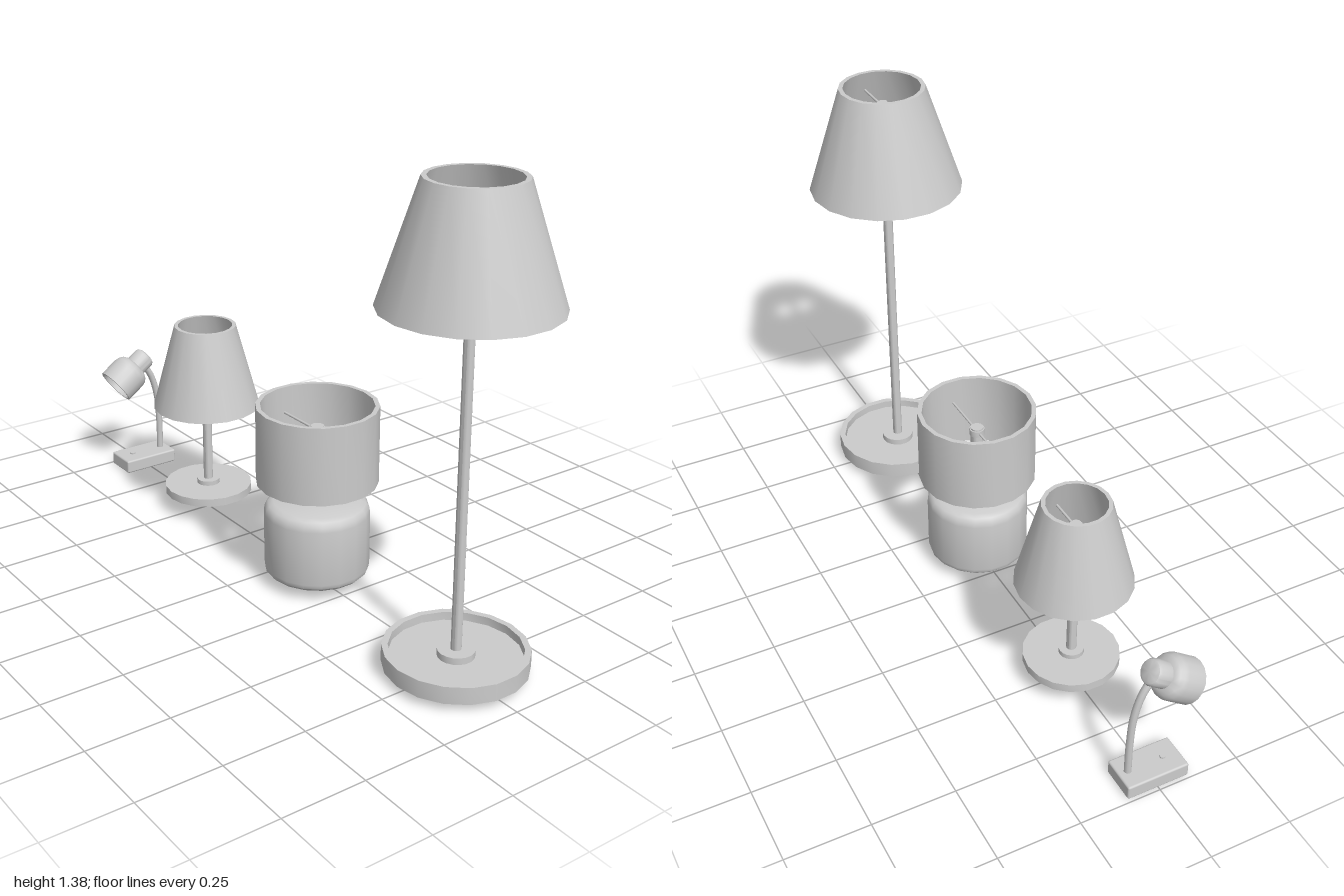
import * as THREE from 'three';
import { toCreasedNormals } from 'three/addons/utils/BufferGeometryUtils.js';
import { RoundedBoxGeometry } from 'three/addons/geometries/RoundedBoxGeometry.js';

const SIDES = 18;
const material = new THREE.MeshStandardMaterial({ color: 0xcccccc });

function add(parent, name, geometry, x = 0, y = 0, z = 0) {
  const mesh = new THREE.Mesh(geometry, material);
  mesh.name = name;
  mesh.position.set(x, y, z);
  parent.add(mesh);
  return mesh;
}

// Turned solid from [radius, height] points, listed from the bottom up the outside
function turned(points, sides = SIDES) {
  const profile = points.map(([r, y]) => new THREE.Vector2(r, y));
  return toCreasedNormals(new THREE.LatheGeometry(profile, sides), 0.6);
}

function disc(r, y0, y1, sides = SIDES) {
  return turned([[0, y0], [r, y0], [r, y1], [0, y1]], sides);
}

// Hollow shade with a wall thickness
function shadeGeometry(rBottom, rTop, y0, y1, t) {
  return turned([[rBottom - t, y0], [rBottom, y0], [rTop, y1], [rTop - t, y1], [rBottom - t, y0]]);
}

// Shade, pole, collar and the crossbar that carries the shade
function standingLamp(name, x, baseGeometry, o) {
  const lamp = new THREE.Group();
  lamp.name = name;
  lamp.position.x = x;
  add(lamp, 'base', baseGeometry);
  add(lamp, 'collar', disc(o.collarR, o.collarY[0], o.collarY[1]));
  add(lamp, 'pole', disc(o.poleR, o.collarY[0], o.barY + 0.015, 12));
  const [rBottom, rTop, y0, y1] = o.shade;
  add(lamp, 'shade', shadeGeometry(rBottom, rTop, y0, y1, o.wall));
  const rAtBar = THREE.MathUtils.mapLinear(o.barY, y0, y1, rBottom, rTop) - o.wall * 0.5;
  const bar = new THREE.CylinderGeometry(0.004, 0.004, rAtBar * 2, 8).rotateZ(Math.PI / 2);
  add(lamp, 'shadeCrossbar', bar, 0, o.barY);
  add(lamp, 'shadeHub', disc(o.poleR + 0.004, o.barY - 0.01, o.barY + 0.01, 12));
  return lamp;
}

function deskLamp() {
  const lamp = new THREE.Group();
  lamp.name = 'deskLamp';
  lamp.position.x = -0.935;
  add(lamp, 'base', new RoundedBoxGeometry(0.112, 0.045, 0.194, 2, 0.006), 0, 0.0225, 0);
  add(lamp, 'switchButton', disc(0.009, 0.04, 0.05, 12), 0, 0, 0.045);

  // Bent stem rising from the rear of the base
  const path = new THREE.CatmullRomCurve3(
    [[0.03, -0.067], [0.15, -0.067], [0.25, -0.06], [0.33, -0.037], [0.385, 0]]
      .map(([y, z]) => new THREE.Vector3(0, y, z)));
  add(lamp, 'stem', new THREE.TubeGeometry(path, 16, 0.011, 10));

  // Tilted head: bell-shaped shade with a cap behind it
  const head = new THREE.Group();
  head.name = 'head';
  head.position.set(0, 0.315, 0.102);
  head.rotation.x = -0.95;
  lamp.add(head);
  add(head, 'bellShade', turned([
    [0, 0.03], [0.056, 0.03], [0.058, 0], [0.066, 0], [0.066, 0.066],
    [0.063, 0.08], [0.055, 0.092], [0.042, 0.1], [0, 0.1],
  ]));
  add(head, 'cap', turned([
    [0.034, 0.095], [0.038, 0.1], [0.038, 0.142], [0.034, 0.15], [0.026, 0.154], [0, 0.154],
  ]));
  return lamp;
}

export function createModel() {
  const model = new THREE.Group();
  model.name = 'lampSet';
  model.add(deskLamp());

  // Small table lamp on a thin round foot
  model.add(standingLamp('tableLamp', -0.5, disc(0.144, 0.064, 0.09), {
    collarR: 0.038, collarY: [0.085, 0.105], poleR: 0.015, barY: 0.56,
    shade: [0.174, 0.1, 0.37, 0.645], wall: 0.012,
  }));

  // Squat lamp with a rounded body and drum shade
  const body = turned([
    [0, 0.032], [0.135, 0.032], [0.148, 0.036], [0.157, 0.045], [0.16, 0.058],
    [0.16, 0.23], [0.157, 0.246], [0.148, 0.258], [0.132, 0.265], [0, 0.265],
  ]);
  model.add(standingLamp('drumLamp', 0.115, body, {
    collarR: 0.042, collarY: [0.26, 0.284], poleR: 0.02, barY: 0.49,
    shade: [0.184, 0.184, 0.33, 0.572], wall: 0.014,
  }));

  // Tall floor lamp on a dished foot
  const dish = turned([
    [0, 0.024], [0.204, 0.024], [0.204, 0.075], [0.186, 0.075], [0.186, 0.05], [0, 0.05],
  ]);
  const floorLamp = standingLamp('floorLamp', 0.756, dish, {
    collarR: 0.053, collarY: [0.045, 0.07], poleR: 0.0155, barY: 1.315,
    shade: [0.244, 0.135, 1.045, 1.38], wall: 0.014,
  });
  add(floorLamp, 'socketDisc', disc(0.058, 1.115, 1.14));
  model.add(floorLamp);
  return model;
}
